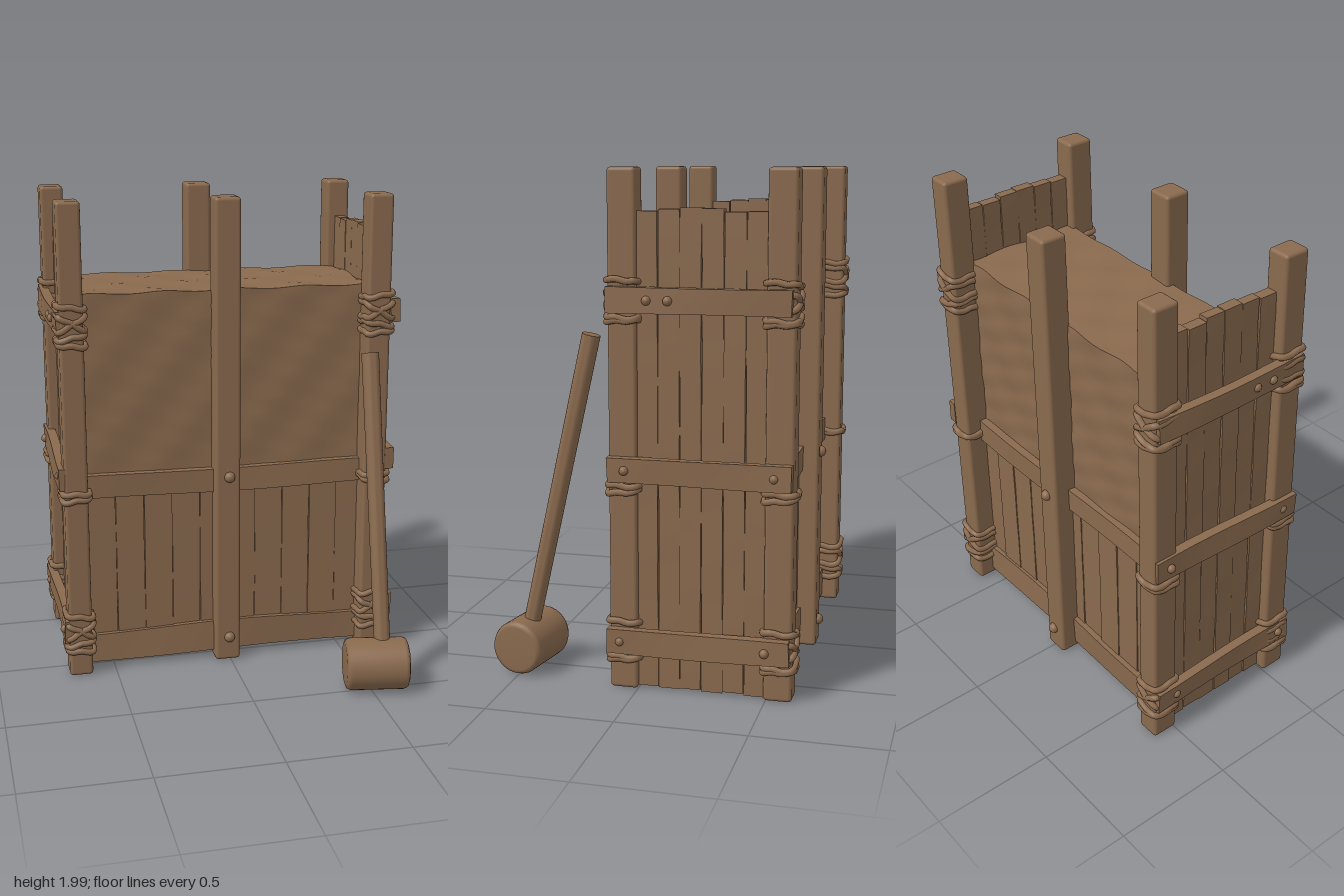
import * as THREE from 'three';
import { toCreasedNormals } from 'three/addons/utils/BufferGeometryUtils.js';
import { RoundedBoxGeometry } from 'three/addons/geometries/RoundedBoxGeometry.js';

const brown = new THREE.MeshStandardMaterial({ color: 0x8a6a4e });
brown.name = 'weathered brown';

export function createModel() {
  const root = new THREE.Group();

  function add(name, geometry, x = 0, y = 0, z = 0, parent = root) {
    const mesh = new THREE.Mesh(geometry, brown);
    mesh.name = name;
    mesh.position.set(x, y, z);
    parent.add(mesh);
    return mesh;
  }

  // Moves every vertex by smooth waves so straight parts look hand-hewn
  function roughen(geometry, amount, freq, seed) {
    const p = geometry.attributes.position;
    for (let i = 0; i < p.count; i++) {
      const x = p.getX(i), y = p.getY(i), z = p.getZ(i);
      const wave = (k) =>
        Math.sin(x * freq + y * freq * 0.9 + seed * 3.1 + k) * Math.cos(z * freq - y * freq * 1.7 + seed + k * 2);
      p.setXYZ(i, x + amount * wave(0), y + amount * wave(1.7), z + amount * wave(3.9));
    }
    return toCreasedNormals(geometry, 0.7);
  }

  let seed = 1;
  // Box given by its limits on each axis
  function board(name, [x0, x1], [y0, y1], [z0, z1], amount = 0.003, freq = 9, step = 0.09) {
    const w = x1 - x0, h = y1 - y0, d = z1 - z0;
    const n = (s) => Math.max(1, Math.round(s / step));
    const g = new THREE.BoxGeometry(w, h, d, n(w), n(h), n(d));
    return add(name, roughen(g, amount, freq, seed++), (x0 + x1) / 2, (y0 + y1) / 2, (z0 + z1) / 2);
  }

  // Packed earth filling
  board('earthBlock', [-0.61, 0.61], [0.05, 1.62], [-0.5, 0.015], 0.005, 21, 0.035);

  // Six upright posts with softened edges
  const postZ = { front: 0.055, back: -0.545 };
  for (const [side, z] of Object.entries(postZ)) {
    for (const [place, x, w, zz] of [
      ['right', -0.65, 0.098, z],
      ['left', 0.626, 0.1, z],
      ['middle', -0.012, 0.108, side === 'front' ? 0.04 : -0.542],
    ]) {
      add(`${side}${place}Post`, new RoundedBoxGeometry(w, 1.99, 0.11, 2, 0.014), x, 1.005, zz);
    }
  }

  // Front and back walls: low vertical planks held by two cross rails
  for (const [side, zi, dir] of [['front', 0.012, 1], ['back', -0.497, -1]]) {
    const count = 10, w = 1.2 / count;
    for (let i = 0; i < count; i++) {
      const x = -0.6 + i * w, t = 0.014 + 0.003 * (i % 3);
      const z = [zi, zi + dir * t].sort((a, b) => a - b);
      board(`${side}Plank`, [x + 0.001, x + w - 0.001], [0.05, 0.8], z, 0.001);
    }
    const railZ = [zi, zi + dir * 0.035].sort((a, b) => a - b);
    board(`${side}MiddleRail`, [-0.62, 0.6], [0.768, 0.868], railZ, 0.005, 5);
    board(`${side}BottomRail`, [-0.62, 0.6], [0.04, 0.168], railZ, 0.008, 5);
    // Round pegs on the middle post
    for (const y of [0.84, 0.115]) {
      add('peg', new THREE.SphereGeometry(0.023, 14, 10), -0.006, y, side === 'front' ? 0.095 : -0.598);
    }
  }

  // Rope loop following a rounded square
  function ropeLoop(x, y, z, hx, hz, tiltX, tiltZ) {
    const points = [];
    for (let i = 0; i < 24; i++) {
      const a = (i / 24) * Math.PI * 2, c = Math.cos(a), s = Math.sin(a);
      const k = 1 / Math.pow(c ** 6 + s ** 6, 1 / 6);
      const px = hx * c * k, pz = hz * s * k;
      points.push(new THREE.Vector3(px, px * tiltZ + pz * tiltX + 0.003 * Math.sin(a * 5), pz));
    }
    const curve = new THREE.CatmullRomCurve3(points, true);
    add('ropeLoop', new THREE.TubeGeometry(curve, 48, 0.013, 7, true), x, y, z);
  }

  // Both ends: tall ragged planks, three outer rails, pegs and rope ties
  const heights = [1.843, 1.84, 1.852, 1.855, 1.848, 1.842];
  for (const s of [-1, 1]) {
    const end = s < 0 ? 'right' : 'left';
    const span = (a, b) => (s < 0 ? [-b, -a] : [a, b]);
    const w = 0.5 / heights.length;
    heights.forEach((top, i) => {
      const z = -0.495 + i * w;
      board(`${end}EndPlank`, span(0.612, 0.652 + 0.004 * (i % 2)),
        [0.015 + 0.006 * (i % 2), top], [z + 0.001, z + w - 0.001], 0.002, 7);
    });

    [1.52, 0.88, 0.21].forEach((y, level) => {
      board(`${end}EndRail`, span(0.675, 0.715), [y - 0.048, y + 0.048], [-0.592, 0.108], 0.006, 6);
      const pegZ = [[-0.05, -0.13], [-0.53, 0.04], [-0.5, 0.06]][level];
      for (const z of pegZ) add('peg', new THREE.SphereGeometry(0.018, 12, 8), s * 0.712, y, z);

      for (const z of Object.values(postZ)) {
        const x = s < 0 ? -0.65 : 0.63;
        const loops = level === 1
          ? [[-0.068, 0.06, 0.04], [-0.085, -0.1, -0.1]]
          : [[0.062, 0.06, 0.15], [-0.06, 0.08, -0.2], [-0.085, -0.06, 0.1], [0.0, 0.05, 0.55], [0.0, -0.05, -0.55]];
        for (const [dy, tiltX, tiltZ] of loops) {
          ropeLoop(x, y + dy, z, 0.056, 0.06, tiltX, tiltZ * s);
        }
      }
    });
  }

  // Mallet leaning in front: tapered handle and rounded barrel head
  const mallet = new THREE.Group();
  mallet.name = 'mallet';
  root.add(mallet);
  const low = new THREE.Vector3(0.553, 0.15, 0.485), high = new THREE.Vector3(0.555, 1.37, 0.21);
  const axis = high.clone().sub(low);
  const mid = low.clone().add(high).multiplyScalar(0.5);
  const handle = add('handle', toCreasedNormals(new THREE.CylinderGeometry(0.036, 0.033, axis.length(), 24), 0.7),
    mid.x, mid.y, mid.z, mallet);
  handle.quaternion.setFromUnitVectors(new THREE.Vector3(0, 1, 0), axis.normalize());

  const r = 0.107, half = 0.13, b = 0.02;
  const profile = [[0, -half], [r - b, -half], [r - 0.006, -half + 0.006], [r, -half + b],
    [r, half - b], [r - 0.006, half - 0.006], [r - b, half], [0, half]].map(([x, y]) => new THREE.Vector2(x, y));
  const headGeometry = new THREE.LatheGeometry(profile, 40);
  headGeometry.rotateZ(Math.PI / 2);
  const head = add('head', headGeometry, 0.525, 0.117, 0.487, mallet);
  head.rotation.y = -0.17;

  return root;
}
